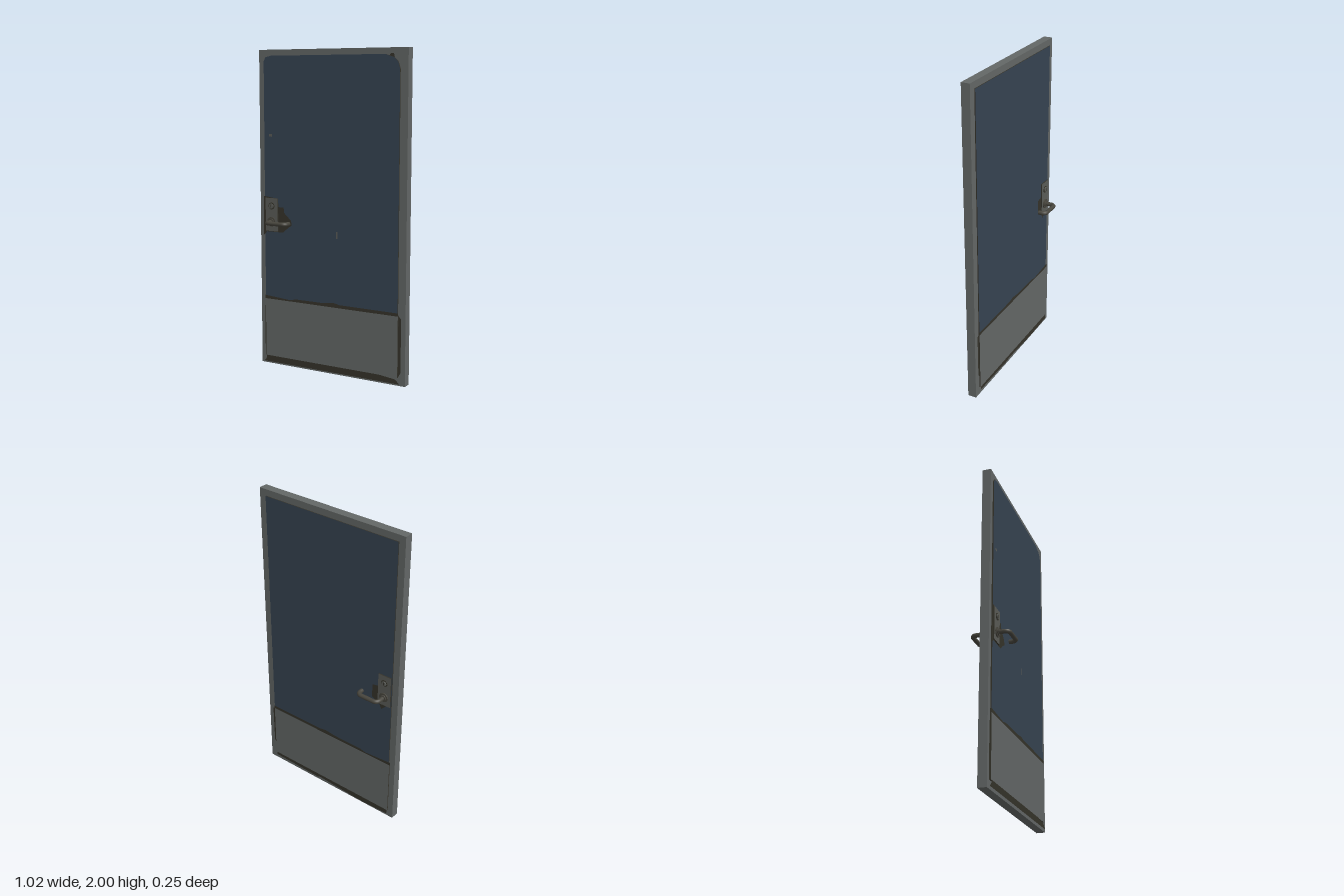
import * as THREE from 'three';

const mat = (name, color) => {
  const m = new THREE.MeshStandardMaterial({ color });
  m.name = name;
  return m;
};

export function createModel() {
  const frameGrey = mat('frame grey', 0x636766);
  const panelBlue = mat('panel blue', 0x364351);
  const grime = mat('dark grime', 0x35332a);
  const steel = mat('worn steel', 0x5a5c57);
  const leverMetal = mat('lever metal', 0x48463e);

  const root = new THREE.Group();
  root.name = 'door';
  const add = (parent, name, geo, material, x = 0, y = 0, z = 0) => {
    const m = new THREE.Mesh(geo, material);
    m.name = name;
    m.position.set(x, y, z);
    parent.add(m);
    return m;
  };

  // Solid door leaf
  add(root, 'doorLeaf', new THREE.BoxGeometry(1.024, 2, 0.054), frameGrey, 0, 1, -0.001);

  // One face of the door; s mirrors x so the rotated back lines up with the front
  const makeFace = (s) => {
    const face = new THREE.Group();
    face.name = s > 0 ? 'frontFace' : 'backFace';
    const shape = (pts) => new THREE.Shape(pts.map(([x, y]) => new THREE.Vector2(s * x, y)));
    const plate = (name, pts, z, depth, material) =>
      add(face, name, new THREE.ExtrudeGeometry(shape(pts), { depth, bevelEnabled: false }), material, 0, 0, z);
    const stain = (name, pts, z) => add(face, name, new THREE.ShapeGeometry(shape(pts)), grime, 0, 0, z);
    const front = s > 0;

    // Upper blue panel with worn corners, and dark sides
    plate('upperPanel', front ? [
      [-0.475, 0.43], [0.463, 0.43], [0.463, 1.88], [0.45, 1.92], [0.425, 1.945],
      [0.39, 1.955], [0.37, 1.963], [-0.42, 1.963], [-0.46, 1.955], [-0.474, 1.93],
    ] : [[-0.47, 0.43], [0.465, 0.43], [0.465, 1.96], [-0.47, 1.96]], 0.02, 0.0135, [panelBlue, grime]);

    // Kick plate
    plate('kickPlate', [[-0.475, 0.05], [0.465, 0.05], [0.465, 0.43], [-0.475, 0.43]],
      0.02, 0.0145, [frameGrey, grime]);

    // Dirt along the panel edges
    stain('kickTopGrime', [[-0.48, 0.428], [0.47, 0.428], [0.465, 0.447], [0.07, 0.448],
      [0.03, 0.456], [-0.05, 0.447], [-0.25, 0.446], [-0.29, 0.436], [-0.48, 0.45]], 0.035);
    if (front) {
      stain('bottomGrime', [[-0.49, 0.012], [0.48, 0.012], [0.45, 0.04], [0.34, 0.052],
        [-0.47, 0.052], [-0.47, 0.035]], 0.0352);
      stain('rightKickGrime', [[0.465, 0.05], [0.482, 0.08], [0.484, 0.41], [0.465, 0.43]], 0.0268);
      stain('leftKickGrime', [[-0.486, 0.05], [-0.477, 0.05], [-0.477, 0.38], [-0.486, 0.38]], 0.0268);
      stain('cornerGrime', [[0.39, 1.952], [0.425, 1.945], [0.42, 1.968], [0.4, 1.968]], 0.0268);
    } else {
      stain('bottomGrime', [[-0.47, 0.02], [-0.25, 0.012], [0.08, 0.03], [0.1, 0.022],
        [0.46, 0.03], [0.46, 0.05], [-0.47, 0.05]], 0.0352);
      stain('sideGrime', [[0.467, 0.13], [0.48, 0.15], [0.482, 0.42], [0.467, 0.43]], 0.0295);
    }

    // Dark worn area around the handle, and small chips in the paint
    stain('handleGrime', front ? [
      [-0.484, 0.84], [-0.46, 0.865], [-0.34, 0.865], [-0.3, 0.9], [-0.275, 0.915], [-0.28, 0.945],
      [-0.33, 0.99], [-0.335, 1.025], [-0.38, 1.025], [-0.4, 1.08], [-0.48, 1.09],
    ] : [[-0.44, 0.87], [-0.4, 0.83], [-0.38, 0.87], [-0.33, 0.89], [-0.33, 0.98], [-0.38, 0.99]], 0.0345);
    if (front) {
      for (const [x, y, w, h] of [[-0.428, 1.473, 0.02, 0.016], [0.049, 0.88, 0.01, 0.045]])
        add(face, 'paintChip', new THREE.PlaneGeometry(w, h), steel, x, y, 0.0342);
    }

    // Handle plate
    plate('handlePlate', [[-0.465, 0.87], [-0.375, 0.87], [-0.375, 1.08], [-0.465, 1.08]],
      0.025, 0.016, [steel, grime]);

    // Lock cylinder, keyhole and lever rosette
    const disc = (name, r, z0, z1, y, material, sides = 20) => {
      const g = new THREE.CylinderGeometry(r, r, z1 - z0, sides).rotateX(Math.PI / 2);
      return add(face, name, g, material, s * -0.42, y, (z0 + z1) / 2);
    };
    disc('lockRing', 0.022, 0.035, 0.044, 1.03, grime);
    disc('lockCylinder', 0.016, 0.035, 0.05, 1.03, steel);
    add(face, 'keyhole', new THREE.PlaneGeometry(0.006, 0.02), grime, s * -0.42, 1.03, 0.0506);
    disc('leverRosette', 0.03, 0.035, 0.048, 0.93, leverMetal);
    disc('leverCollar', 0.02, 0.04, 0.056, 0.93, leverMetal);

    // Bent lever bar with its end turned back to the door
    const P = (x, z) => new THREE.Vector3(s * x, 0.93, z);
    const [x0, x1, zo, r] = [-0.42, -0.278, 0.112, 0.03];
    const path = new THREE.CurvePath();
    path.add(new THREE.LineCurve3(P(x0, 0.035), P(x0, zo - r)));
    path.add(new THREE.QuadraticBezierCurve3(P(x0, zo - r), P(x0, zo), P(x0 + r, zo)));
    path.add(new THREE.LineCurve3(P(x0 + r, zo), P(x1 - r, zo)));
    path.add(new THREE.QuadraticBezierCurve3(P(x1 - r, zo), P(x1, zo), P(x1, zo - r)));
    path.add(new THREE.LineCurve3(P(x1, zo - r), P(x1, 0.066)));
    add(face, 'lever', new THREE.TubeGeometry(path, 48, 0.0135, 10), leverMetal);
    add(face, 'leverEnd', new THREE.CircleGeometry(0.0135, 10).rotateY(Math.PI), leverMetal, s * x1, 0.93, 0.066);

    if (!front) face.rotation.y = Math.PI;
    root.add(face);
  };
  makeFace(1);
  makeFace(-1);
  return root;
}
